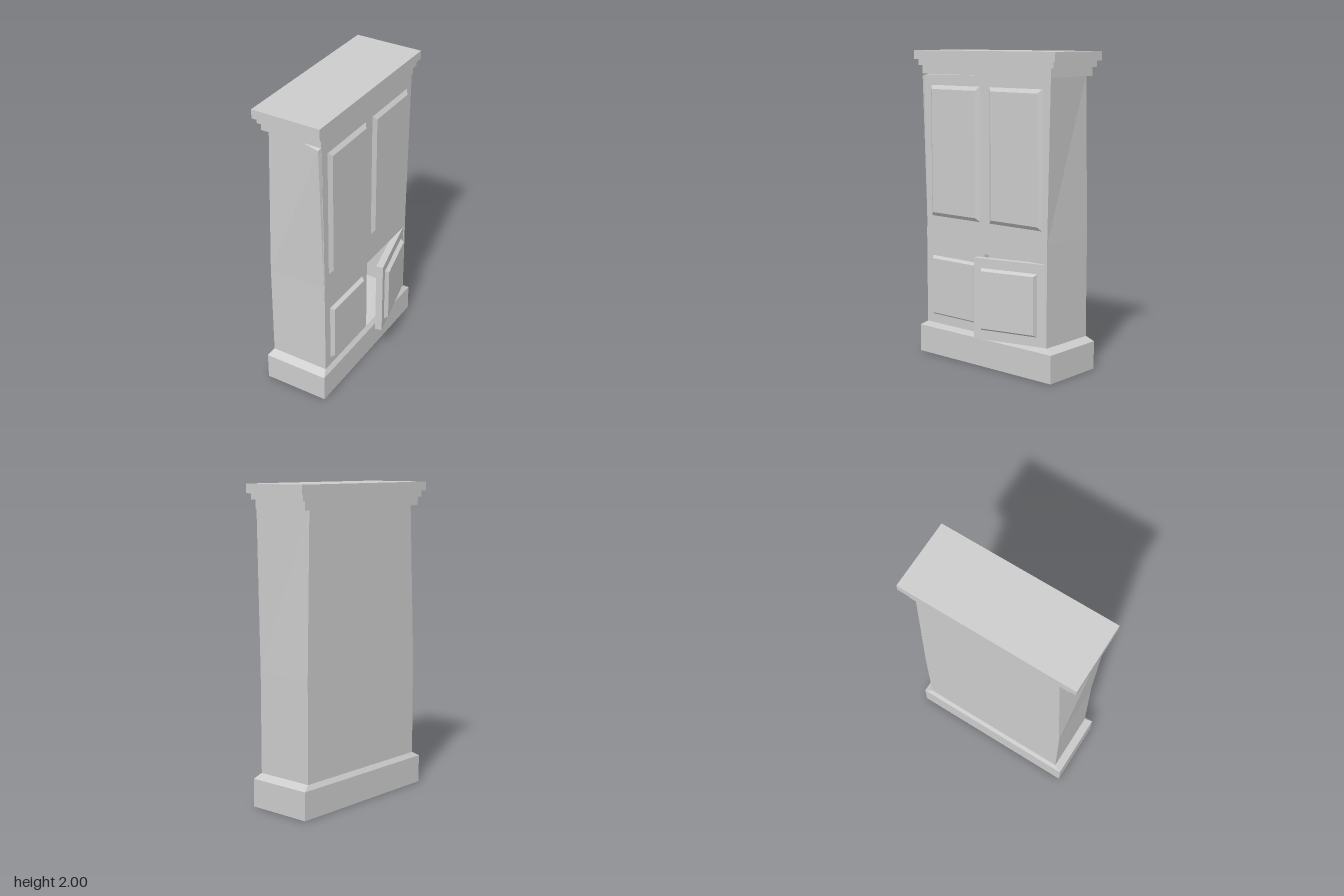
import * as THREE from 'three';

const material = new THREE.MeshStandardMaterial({ color: 0xcccccc, flatShading: true });

function add(parent, name, geometry) {
  const mesh = new THREE.Mesh(geometry, material);
  mesh.name = name;
  parent.add(mesh);
  return mesh;
}

// Box given by its extents
function block(parent, name, x0, x1, y0, y1, z0, z1) {
  const g = new THREE.BoxGeometry(x1 - x0, y1 - y0, z1 - z0);
  g.translate((x0 + x1) / 2, (y0 + y1) / 2, (z0 + z1) / 2);
  return add(parent, name, g);
}

// Closed solid through stacked rings of [x, y, z], counter-clockwise from above
function loft(rings) {
  const n = rings[0].length;
  const pos = [];
  const tri = (a, b, c) => pos.push(...a, ...b, ...c);
  for (let r = 0; r < rings.length - 1; r++) {
    const lo = rings[r], hi = rings[r + 1];
    for (let i = 0; i < n; i++) {
      const j = (i + 1) % n;
      tri(lo[i], lo[j], hi[j]);
      tri(lo[i], hi[j], hi[i]);
    }
  }
  const bottom = rings[0], top = rings[rings.length - 1];
  for (let i = 1; i < n - 1; i++) {
    tri(bottom[0], bottom[i + 1], bottom[i]);
    tri(top[0], top[i], top[i + 1]);
  }
  const g = new THREE.BufferGeometry();
  g.setAttribute('position', new THREE.Float32BufferAttribute(pos, 3));
  g.computeVertexNormals();
  return g;
}

const rect = (x0, x1, y, z0, z1) => [[x0, y, z1], [x1, y, z1], [x1, y, z0], [x0, y, z0]];

// Raised panel with bevelled borders, standing out towards +x from x
function raisedPanel(parent, name, x, y0, y1, z0, z1, bevel, depth) {
  const h = (y1 - y0) / 2, w = (z1 - z0) / 2;
  const g = loft([
    rect(-h, h, 0, -w, w),
    rect(-h + bevel, h - bevel, depth, -w + bevel, w - bevel),
  ]);
  g.rotateZ(-Math.PI / 2);
  g.translate(x, (y0 + y1) / 2, (z0 + z1) / 2);
  return add(parent, name, g);
}

export function createModel() {
  const model = new THREE.Group();
  model.name = 'cabinet';
  const back = -0.245, front = 0.15, side = 0.51;

  // Plinth with a sloped top edge
  add(model, 'plinth', loft([
    rect(-0.265, 0.17, 0, -0.56, 0.56),
    rect(-0.265, 0.17, 0.18, -0.56, 0.56),
    rect(back, front, 0.21, -side, side),
  ]));

  // Hollow lower cupboard
  const lower = new THREE.Group();
  lower.name = 'lowerCupboard';
  model.add(lower);
  block(lower, 'lowerBack', back, back + 0.03, 0.21, 0.73, -side, side);
  for (const s of [-1, 1]) {
    block(lower, 'lowerSide', back + 0.03, front, 0.21, 0.73,
      s < 0 ? -side : side - 0.012, s < 0 ? -side + 0.012 : side);
  }
  block(lower, 'middleRail', back, front, 0.73, 0.85, -side, side);

  // Closed lower door
  block(lower, 'closedDoor', front - 0.045, front, 0.21, 0.73, 0, side - 0.012);
  raisedPanel(lower, 'closedDoorPanel', front, 0.27, 0.665, 0.06, 0.45, 0.015, 0.025);

  // Open lower door, turned about its hinge
  const door = new THREE.Group();
  door.name = 'openDoor';
  door.position.set(0.145, 0, -0.5);
  door.rotation.y = THREE.MathUtils.degToRad(13.5);
  model.add(door);
  block(door, 'openDoorBoard', -0.045, 0, 0.21, 0.726, 0, 0.5);
  raisedPanel(door, 'openDoorPanel', 0, 0.27, 0.665, 0.06, 0.45, 0.015, 0.025);

  // Upper case, its front flaring and its back narrowing towards the top
  add(model, 'upperCase', loft([
    [[back, 0.85, side], [0.145, 0.85, side], [front, 0.85, 0.507],
      [front, 0.85, -side], [back, 0.85, -side]],
    [[back, 1.855, 0.465], [0.142, 1.835, 0.545], [front, 1.845, 0.52],
      [front, 1.855, -0.53], [back, 1.855, -0.49]],
  ]));
  raisedPanel(model, 'upperPanelNear', front, 0.93, 1.78, 0.035, 0.46, 0.025, 0.02);
  raisedPanel(model, 'upperPanelFar', front, 0.93, 1.78, -0.47, -0.045, 0.025, 0.02);

  // Stepped cornice
  block(model, 'corniceLower', -0.25, 0.155, 1.85, 1.905, -0.533, 0.533);
  block(model, 'corniceMiddle', -0.26, 0.165, 1.905, 1.943, -0.56, 0.56);
  block(model, 'corniceTop', -0.275, 0.18, 1.943, 2, -0.585, 0.585);

  return model;
}
